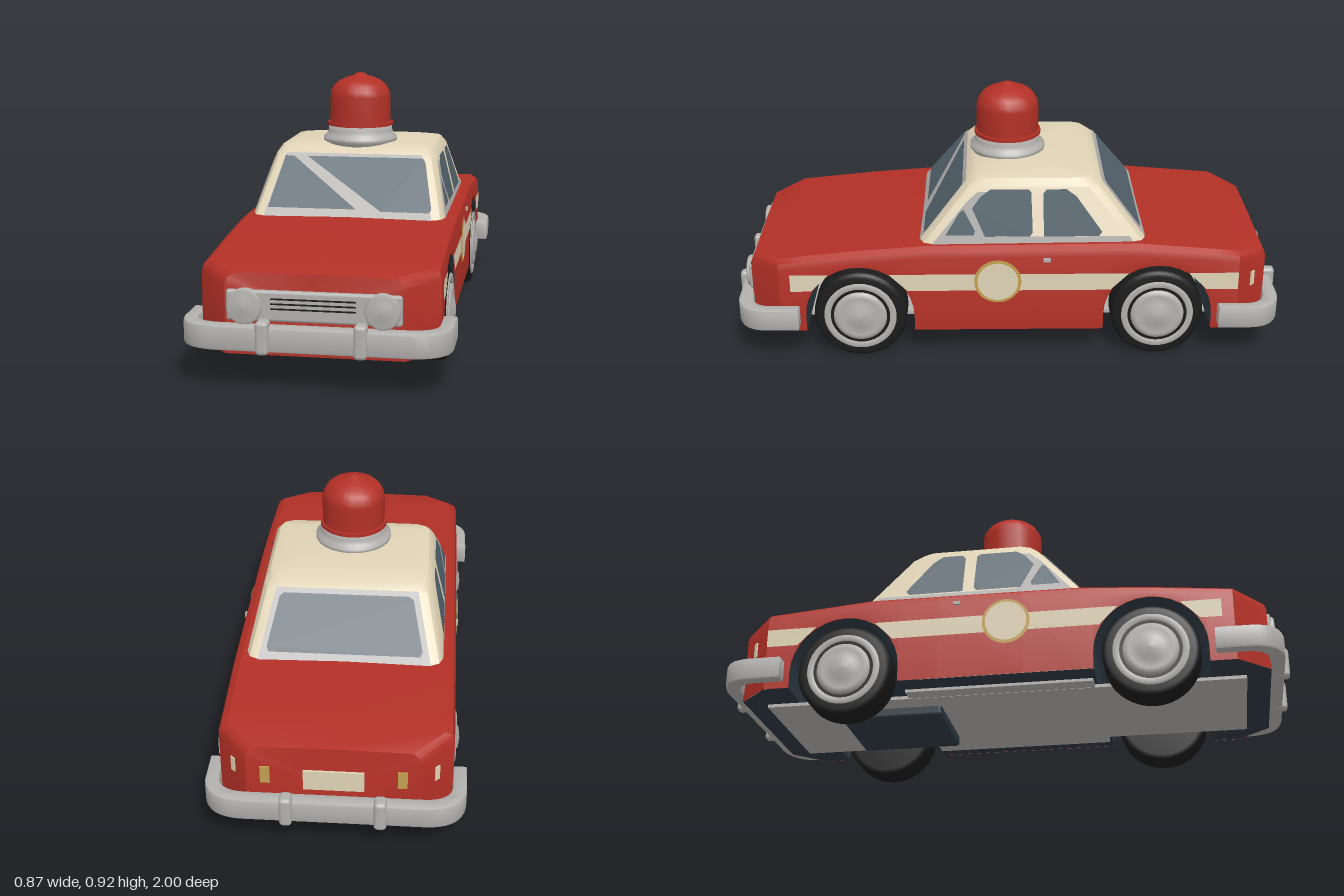
import * as THREE from 'three';
import { toCreasedNormals } from 'three/addons/utils/BufferGeometryUtils.js';
import { RoundedBoxGeometry } from 'three/addons/geometries/RoundedBoxGeometry.js';

const paint = (name, color) => {
  const m = new THREE.MeshStandardMaterial({ color, side: THREE.DoubleSide });
  m.name = name;
  return m;
};
const red = paint('red paint', 0xb23026), cream = paint('cream paint', 0xe0d3b6);
const grey = paint('light grey metal', 0xb3b1ae), glass = paint('window glass', 0x53626c);
const trim = paint('dark slate trim', 0x2e3a44), rubber = paint('black rubber', 0x1b1b1b);
const gold = paint('gold', 0xc4a050);

const lerp = THREE.MathUtils.lerp;
// Piecewise linear lookup in a list of [key, value], keys rising
function along(table, k) {
  for (let i = 1; i < table.length; i++) {
    const [k0, v0] = table[i - 1], [k1, v1] = table[i];
    if (k <= k1) return lerp(v0, v1, (k - k0) / (k1 - k0));
  }
  return table.at(-1)[1];
}

// Skin over rings of points, with optional fans closing the ends
function loft(rings, capStart, capEnd) {
  const n = rings[0].length, pos = rings.flat(2), idx = [];
  for (let i = 0; i < rings.length - 1; i++)
    for (let j = 0; j < n - 1; j++) {
      const a = i * n + j, d = a + n;
      idx.push(a, a + 1, d + 1, a, d + 1, d);
    }
  const cap = (centre, base, flip) => {
    const c = pos.length / 3;
    pos.push(...centre);
    for (let j = 0; j < n; j++) {
      const p = base + j, q = base + (j + 1) % n;
      idx.push(c, flip ? q : p, flip ? p : q);
    }
  };
  if (capStart) cap(capStart, 0, true);
  if (capEnd) cap(capEnd, (rings.length - 1) * n, false);
  const g = new THREE.BufferGeometry();
  g.setAttribute('position', new THREE.Float32BufferAttribute(pos, 3));
  g.setIndex(idx);
  return toCreasedNormals(g, 0.55);
}

export function createModel() {
  const car = new THREE.Group();
  car.name = 'car';
  const add = (name, geo, mat, x = 0, y = 0, z = 0, parent = car) => {
    const m = new THREE.Mesh(geo, mat);
    m.name = name;
    m.position.set(x, y, z);
    parent.add(m);
    return m;
  };
  const box = (w, h, d) => new THREE.BoxGeometry(w, h, d);
  const lathe = (pts, seg) => new THREE.LatheGeometry(pts.map(p => new THREE.Vector2(...p)), seg);
  // Flat outline laid onto a surface by a mapping rule
  const panel = (name, mat, pts, map) => {
    const g = new THREE.ShapeGeometry(new THREE.Shape(pts.map(p => new THREE.Vector2(...p))));
    const p = g.attributes.position;
    for (let i = 0; i < p.count; i++) p.setXYZ(i, ...map(p.getX(i), p.getY(i)));
    g.computeVertexNormals();
    return add(name, g, mat);
  };

  // Lower body, with wheel arches cut right through
  const axle = 0.535, archR = 0.195, hubY = 0.168, floorY = 0.11;
  const topLine = [[-0.932, 0.388], [-0.82, 0.407], [-0.45, 0.438], [0.3, 0.432], [0.535, 0.415], [0.82, 0.386], [0.932, 0.37]];
  const widthLine = [[-0.932, 0.287], [-0.82, 0.39], [0.82, 0.39], [0.932, 0.287]];
  const stations = [[-0.932, floorY], [-0.82, floorY]];
  for (const c of [-axle, axle]) {
    stations.push([c - archR, floorY]);
    for (let i = 0; i <= 16; i++) {
      const a = Math.PI * (1 - i / 16);
      stations.push([c + archR * Math.cos(a), hubY + archR * Math.sin(a)]);
    }
    stations.push([c + archR, floorY]);
    if (c < 0) stations.push([-0.2, floorY], [0.1, floorY], [0.3, floorY]);
  }
  stations.push([0.82, floorY], [0.932, floorY]);
  const section = ([z, b]) => {
    const t = along(topLine, z), w = along(widthLine, z);
    const lean = Math.abs(z) > 0.9 ? -Math.sign(z) * 0.014 : 0;
    const half = [[w, b, z], [w, t - 0.035, z], [w - 0.008, t - 0.014, z + lean / 2], [w - 0.03, t, z + lean]];
    return [...half, [0, t + 0.004, z + lean], ...half.map(([x, y, q]) => [-x, y, q]).reverse()];
  };
  add('body', loft(stations.map(section), [0, 0.24, -0.932], [0, 0.24, 0.932]), red);
  add('underside', loft(stations.map(([z, b]) => {
    const w = along(widthLine, z) - 0.002;
    return [[-w, b, z], [w, b, z]];
  })), trim);
  add('floorPan', box(0.5, 0.012, 1.7), grey, 0, 0.103, 0);
  add('floorPanMiddle', box(0.62, 0.01, 0.66), grey, 0, 0.103, 0);
  add('fuelTank', new RoundedBoxGeometry(0.34, 0.045, 0.37, 2, 0.012), trim, 0, 0.085, -0.415);

  // Cabin
  const ring = (y, w, f, b, c) => [[w - c, y, f], [w - c * 0.3, y, f - c * 0.3], [w, y, f - c],
    [w, y, b + c], [w - c * 0.3, y, b + c * 0.3], [w - c, y, b],
    [c - w, y, b], [c * 0.3 - w, y, b + c * 0.3], [-w, y, b + c],
    [-w, y, f - c], [c * 0.3 - w, y, f - c * 0.3], [c - w, y, f], [w - c, y, f]];
  add('cabin', loft([ring(0.42, 0.348, 0.325, -0.5, 0.04), ring(0.63, 0.297, 0.155, -0.335, 0.05),
    ring(0.658, 0.28, 0.125, -0.298, 0.05), ring(0.67, 0.235, 0.07, -0.23, 0.05)], null, [0, 0.673, -0.08]), cream);
  const rise = y => (y - 0.42) / 0.21;
  const onFront = o => (x, y) => [x, y, 0.325 - 0.17 * rise(y) + o];
  const onRear = o => (x, y) => [x, y, -0.5 + 0.165 * rise(y) - o];
  const onSide = (s, o) => (z, y) => [s * (0.348 - 0.051 * rise(y) + o), y, z];

  const frame = [[-0.305, 0.425], [0.305, 0.425], [0.25, 0.638], [-0.25, 0.638]];
  panel('windscreenFrame', grey, frame, onFront(0.003));
  panel('rearWindowFrame', grey, frame, onRear(0.003));
  panel('windscreenLeft', glass, [[-0.17, 0.628], [0.255, 0.628], [0.265, 0.615], [0.3, 0.465], [0.29, 0.455], [0.12, 0.455]], onFront(0.008));
  panel('windscreenRight', glass, [[-0.29, 0.46], [0.03, 0.46], [-0.22, 0.628], [-0.252, 0.628]], onFront(0.008));
  panel('rearWindow', glass, [[-0.265, 0.46], [0.265, 0.46], [0.272, 0.475], [0.235, 0.615], [0.22, 0.625], [-0.22, 0.625], [-0.235, 0.615], [-0.272, 0.475]], onRear(0.008));

  for (const s of [1, -1]) {
    // Side windows and their sill
    panel('sideFrame', grey, [[0.275, 0.43], [0.15, 0.58], [0.11, 0.615], [0.07, 0.615], [0.07, 0.458], [-0.43, 0.458], [-0.45, 0.43]], onSide(s, 0.003));
    panel('quarterWindow', glass, [[0.225, 0.465], [0.125, 0.465], [0.12, 0.48], [0.16, 0.555], [0.175, 0.545]], onSide(s, 0.007));
    panel('frontSideWindow', glass, [[0.085, 0.46], [-0.075, 0.46], [-0.085, 0.475], [-0.08, 0.615], [-0.07, 0.625], [0.065, 0.625], [0.1, 0.6], [0.13, 0.56]], onSide(s, 0.007));
    panel('rearSideWindow', glass, [[-0.125, 0.46], [-0.32, 0.46], [-0.332, 0.475], [-0.24, 0.6], [-0.205, 0.625], [-0.135, 0.625], [-0.122, 0.61]], onSide(s, 0.007));

    // Side stripe, broken by the arches, with a round badge
    const onDoor = (z, y) => [s * 0.393, y, z];
    const lo = 0.27, hi = 0.335, gap = y => Math.sqrt(archR ** 2 - (y - hubY) ** 2) + 0.006;
    panel('stripeMiddle', cream, [[axle - gap(lo), lo], [axle - gap(hi), hi], [gap(hi) - axle, hi], [gap(lo) - axle, lo]], onDoor);
    panel('stripeFront', cream, [[axle + gap(lo), lo], [0.78, lo], [0.78, hi], [axle + gap(hi), hi]], onDoor);
    panel('stripeRear', cream, [[-axle - gap(lo), lo], [-0.82, lo], [-0.82, hi], [-axle - gap(hi), hi]], onDoor);
    for (const [name, mat, r, x] of [['badgeRim', gold, 0.084, 0.395], ['badge', cream, 0.073, 0.398]])
      add(name, new THREE.CircleGeometry(r, 32), mat, s * x, 0.307, 0.04).rotation.y = s * Math.PI / 2;
    add('doorHandle', box(0.01, 0.012, 0.025), grey, s * 0.393, 0.39, -0.135);

    // Wheels
    for (const z of [axle, -axle]) {
      const wheel = new THREE.Group();
      wheel.name = 'wheel';
      wheel.position.set(0, hubY, z);
      if (s < 0) wheel.rotation.y = Math.PI;
      car.add(wheel);
      const turn = (name, pts, mat) => add(name, lathe(pts, 40).rotateZ(-Math.PI / 2), mat, 0, 0, 0, wheel);
      turn('tyre', [[0, 0.265], [0.148, 0.265], [0.162, 0.272], [0.167, 0.287], [0.167, 0.37], [0.162, 0.382], [0.15, 0.389], [0.1, 0.389], [0, 0.385]], rubber);
      turn('whitewall', [[0.131, 0.387], [0.128, 0.394], [0.109, 0.394], [0.106, 0.387]], grey);
      turn('hubcap', [[0.097, 0.386], [0.092, 0.397], [0.078, 0.401], [0.074, 0.398], [0.045, 0.4], [0.035, 0.408], [0, 0.412]], grey);
    }

    // Headlights and tail lights
    add('headlight', lathe([[0.057, 0], [0.057, 0.026], [0.052, 0.031], [0.046, 0.028], [0.03, 0.034], [0, 0.037]], 32)
      .rotateX(Math.PI / 2), grey, s * 0.22, 0.27, 0.925);
    add('tailLight', box(0.032, 0.065, 0.008), gold, s * 0.225, 0.29, -0.933);
    add('reflector', box(0.02, 0.055, 0.008), cream, s * 0.335, 0.285, -0.88).rotation.y = s * -0.747;
  }

  // Grille and number plate
  add('grille', new RoundedBoxGeometry(0.56, 0.1, 0.025, 2, 0.01), grey, 0, 0.272, 0.932);
  for (const y of [0.297, 0.281, 0.265]) add('grilleSlot', box(0.27, 0.005, 0.004), rubber, 0, y, 0.945);
  add('numberPlate', box(0.2, 0.075, 0.008), cream, 0, 0.275, -0.934);

  // Bumpers with overriders, the same at both ends
  const plan = new THREE.Shape();
  plan.moveTo(0.427, 0.76).lineTo(0.427, 0.87).quadraticCurveTo(0.42, 0.965, 0.31, 0.972)
    .lineTo(-0.31, 0.972).quadraticCurveTo(-0.42, 0.965, -0.427, 0.87).lineTo(-0.427, 0.76)
    .lineTo(-0.398, 0.76).lineTo(-0.398, 0.86).quadraticCurveTo(-0.39, 0.935, -0.3, 0.938)
    .lineTo(0.3, 0.938).quadraticCurveTo(0.39, 0.935, 0.398, 0.86).lineTo(0.398, 0.76);
  const barGeo = toCreasedNormals(new THREE.ExtrudeGeometry(plan, {
    depth: 0.064, bevelThickness: 0.009, bevelSize: 0.009, bevelSegments: 2, curveSegments: 10,
  }).rotateX(Math.PI / 2), 0.6);
  for (const [name, turn] of [['frontBumper', 0], ['rearBumper', Math.PI]]) {
    const bumper = new THREE.Group();
    bumper.name = name;
    bumper.rotation.y = turn;
    car.add(bumper);
    add('bumperBar', barGeo, grey, 0, 0.205, 0, bumper);
    for (const x of [-0.155, 0.155])
      add('overrider', new RoundedBoxGeometry(0.042, 0.11, 0.055, 3, 0.014), grey, x, 0.181, 0.9725, bumper);
  }

  // Roof beacon
  add('beaconBase', lathe([[0.125, 0.655], [0.138, 0.672], [0.138, 0.684], [0.125, 0.695], [0.119, 0.71], [0.118, 0.732], [0, 0.732]], 32), grey);
  add('beaconRim', new THREE.CylinderGeometry(0.122, 0.122, 0.013, 32), red, 0, 0.734, 0);
  add('beaconDome', lathe([[0.114, 0.738], [0.114, 0.835], [0.11, 0.855], [0.098, 0.875], [0.08, 0.891], [0.05, 0.905], [0.026, 0.911], [0.018, 0.919], [0, 0.922]], 16), red);
  return car;
}
